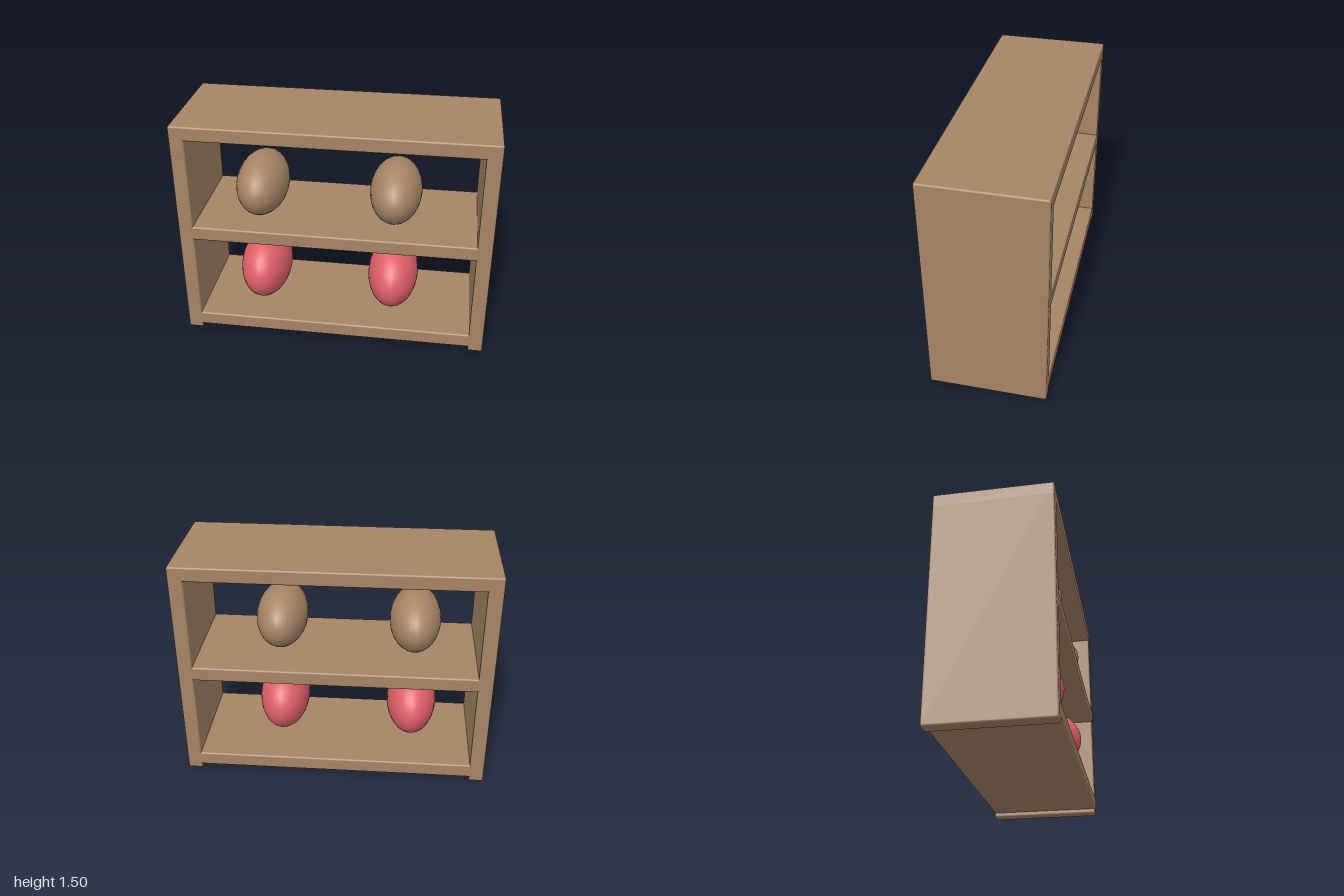
import * as THREE from 'three';
import { RoundedBoxGeometry } from 'three/addons/geometries/RoundedBoxGeometry.js';

export function createModel() {
  const root = new THREE.Group();
  root.name = 'shelfWithEggs';
  const wood = new THREE.MeshStandardMaterial({ color: 0xa58565 });
  wood.name = 'wood brown';
  const pink = new THREE.MeshStandardMaterial({ color: 0xe0606a });
  pink.name = 'coral pink';

  const depth = 0.745, board = 0.095, bevel = 0.012;

  function add(name, geometry, material, x, y, z) {
    const mesh = new THREE.Mesh(geometry, material);
    mesh.name = name;
    mesh.position.set(x, y, z);
    root.add(mesh);
    return mesh;
  }

  // Side panels, reaching the ground as feet
  for (const [name, s] of [['leftPanel', 1], ['rightPanel', -1]]) {
    add(name, new RoundedBoxGeometry(board, 1.5, depth, 2, bevel), wood, s * (1 - board / 2), 0.75, 0);
  }

  // Top board spans the full width
  add('topBoard', new RoundedBoxGeometry(2, board, depth, 2, bevel), wood, 0, 1.5 - board / 2, 0);

  // Middle and bottom shelves, let into the side panels
  for (const [name, y] of [['middleShelf', 0.755], ['bottomShelf', 0.078]]) {
    add(name, new RoundedBoxGeometry(1.9, board, depth, 2, bevel), wood, 0, y, 0);
  }

  // Two eggs per shelf, long from front to back
  const egg = new THREE.SphereGeometry(1, 28, 18);
  for (const x of [-0.503, 0.372]) {
    add('upperEgg', egg, wood, x, 1.0, 0.045).scale.set(0.168, 0.198, 0.297);
    add('lowerEgg', egg, pink, x, 0.378, 0.045).scale.set(0.168, 0.222, 0.297);
  }

  return root;
}
